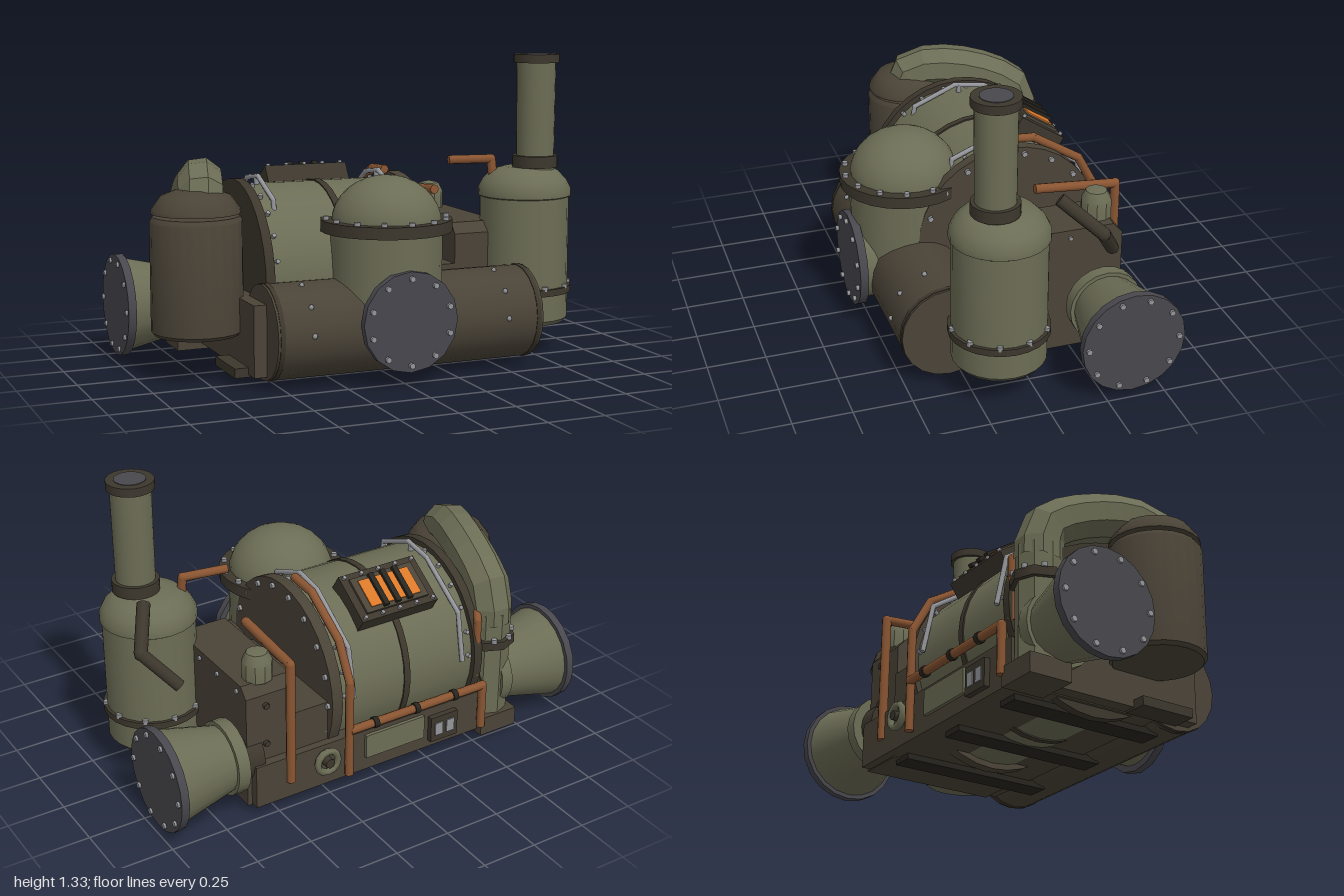
import * as THREE from 'three';
import { toCreasedNormals } from 'three/addons/utils/BufferGeometryUtils.js';

const material = (name, color) => {
  const m = new THREE.MeshStandardMaterial({ color });
  m.name = name;
  return m;
};

export function createModel() {
  const model = new THREE.Group();
  model.name = 'steamEngine';
  const green = material('olive green', 0x6c6d55);
  const brown = material('dark brown', 0x4a4337);
  const trim = material('trim brown', 0x3d372d);
  const slate = material('slate grey', 0x48474d);
  const copper = material('copper', 0x8a5532);
  const orange = material('glowing orange', 0xd9782a);
  const steel = material('steel', 0x94959a);
  const black = material('near black', 0x27251f);

  const add = (name, geo, mat, pos = [0, 0, 0], parent = model) => {
    const mesh = new THREE.Mesh(geo, mat);
    mesh.name = name;
    mesh.position.set(...pos);
    parent.add(mesh);
    return mesh;
  };
  // Box given by its min and max corners
  const box = (name, mat, a, b, parent) => add(name,
    new THREE.BoxGeometry(b[0] - a[0], b[1] - a[1], b[2] - a[2]), mat,
    a.map((v, i) => (v + b[i]) / 2), parent);
  // Cylinder along an axis from start, r0 at the start and r1 at the end
  const cyl = (name, mat, axis, start, length, r0, r1 = r0, sides = 24, parent = model) => {
    const geo = new THREE.CylinderGeometry(r1, r0, length, sides);
    geo.translate(0, length / 2, 0);
    if (axis === 'x') geo.rotateZ(-Math.PI / 2);
    if (axis === 'z') geo.rotateX(Math.PI / 2);
    return add(name, geo, mat, start, parent);
  };
  const lathe = (name, mat, pts, pos, sides = 24) => add(name, toCreasedNormals(
    new THREE.LatheGeometry(pts.map(p => new THREE.Vector2(...p)), sides), 0.6), mat, pos);
  // Straight pipe runs with ball joints at the bends
  const pipe = (name, mat, r, points, parent = model) => {
    const group = new THREE.Group();
    group.name = name;
    const pts = points.map(p => new THREE.Vector3(...p));
    for (let i = 0; i + 1 < pts.length; i++) {
      const dir = pts[i + 1].clone().sub(pts[i]);
      const run = add('pipeRun', new THREE.CylinderGeometry(r, r, dir.length(), 8), mat,
        pts[i].clone().add(pts[i + 1]).multiplyScalar(0.5).toArray(), group);
      run.quaternion.setFromUnitVectors(new THREE.Vector3(0, 1, 0), dir.normalize());
      if (i) add('pipeBend', new THREE.SphereGeometry(r * 1.03, 8, 6), mat, points[i], group);
    }
    parent.add(group);
  };
  // Ring of bolts around an axis
  const bolts = (axis, c, radius, count, parent = model) => {
    for (let i = 0; i < count; i++) {
      const a = (i + 0.5) / count * Math.PI * 2;
      const u = Math.cos(a) * radius, v = Math.sin(a) * radius;
      const p = axis === 'x' ? [c[0], c[1] + u, c[2] + v]
        : axis === 'y' ? [c[0] + u, c[1], c[2] + v] : [c[0] + u, c[1] + v, c[2]];
      cyl('bolt', steel, axis, p, 0.02, 0.013, 0.013, 6, parent);
    }
  };

  // Base with skids
  box('baseFrame', brown, [-0.55, 0.025, -0.49], [0.6, 0.22, 0.2]);
  box('leftSideBlock', brown, [-0.61, 0.03, -0.45], [-0.52, 0.33, 0.37]);
  box('columnFoot', brown, [-0.72, 0.005, -0.52], [-0.53, 0.09, -0.33]);
  box('leftStep', trim, [-0.67, 0.02, 0.05], [-0.56, 0.06, 0.3]);
  for (const x of [0.38, -0.02, -0.42]) box('skid', black, [x - 0.05, 0, -0.42], [x + 0.05, 0.03, 0.28]);

  // Main boiler lying across the base
  const bz = -0.09, by = 0.385;
  cyl('boiler', green, 'x', [-0.52, by, bz], 0.73, 0.38, 0.38, 32);
  cyl('leftBoilerFlange', trim, 'x', [-0.535, by, bz], 0.04, 0.405, 0.405, 32);
  cyl('rightBoilerFlange', brown, 'x', [0.185, by, bz], 0.05, 0.405, 0.405, 32);
  cyl('boilerBand', trim, 'x', [-0.17, by, bz], 0.03, 0.386, 0.386, 32);
  for (const x of [-0.475, 0.16]) {
    for (let i = 0; i < 11; i++) {
      const a = -1.5 + i * 0.28;
      const b = add('boilerBolt', new THREE.CylinderGeometry(0.01, 0.01, 0.024, 6), steel,
        [x, by + Math.cos(a) * 0.385, bz + Math.sin(a) * 0.385]);
      b.rotation.x = a;
    }
  }
  bolts('x', [0.228, by, bz], 0.375, 18);
  for (const x of [-0.435, 0.125]) {
    pipe('boilerRail', steel, 0.011, [[x, 0.66, 0.14], [x, 0.72, 0.13], [x, 0.8, -0.06],
      [x, 0.78, -0.2], [x, 0.62, -0.44], [x, 0.4, -0.485]]);
    cyl('railPost', steel, 'y', [x, 0.74, -0.08], 0.06, 0.012, 0.012, 6);
  }

  // Firebox grate on the sloping back of the boiler
  const grate = new THREE.Group();
  grate.name = 'grate';
  grate.position.set(-0.155, 0.735, -0.3);
  grate.rotation.x = -0.58;
  model.add(grate);
  box('grateFrame', trim, [-0.19, -0.05, -0.115], [0.19, 0.03, 0.115], grate);
  box('grateRim', brown, [-0.155, 0.03, -0.085], [0.155, 0.042, 0.085], grate);
  box('grateGlow', orange, [-0.125, 0.042, -0.065], [0.125, 0.048, 0.065], grate);
  for (let i = -1; i <= 1; i++) box('grateBar', black, [i * 0.06 - 0.012, 0.045, -0.08], [i * 0.06 + 0.012, 0.062, 0.08], grate);
  for (let i = 0; i < 5; i++) for (const z of [-0.1, 0.1])
    cyl('grateBolt', steel, 'y', [-0.17 + i * 0.085, 0.03, z], 0.014, 0.009, 0.009, 6, grate);

  // Front barrel with steam dome and round cover
  cyl('frontBarrel', brown, 'x', [-0.555, 0.205, 0.31], 1.2, 0.2, 0.2, 20);
  cyl('barrelBand', trim, 'x', [-0.545, 0.205, 0.31], 0.02, 0.203, 0.203, 20);
  cyl('barrelBand', trim, 'x', [0.615, 0.205, 0.31], 0.02, 0.203, 0.203, 20);
  for (const x of [-0.4, 0.48]) for (const a of [0.05, 0.65, 1.3])
    add('barrelBolt', new THREE.SphereGeometry(0.012, 6, 4), steel,
      [x, 0.205 + Math.sin(a) * 0.2, 0.31 + Math.cos(a) * 0.2]);
  cyl('domeBody', green, 'y', [0, 0.15, 0.31], 0.47, 0.235);
  cyl('domeFlange', trim, 'y', [0, 0.595, 0.31], 0.05, 0.277);
  bolts('y', [0, 0.64, 0.31], 0.255, 14);
  const dome = new THREE.SphereGeometry(0.232, 24, 8, 0, Math.PI * 2, 0, Math.PI / 2);
  dome.scale(1, 0.86, 1);
  add('steamDome', dome, green, [0, 0.627, 0.31]);
  cyl('coverNeck', green, 'z', [0, 0.25, 0.3], 0.235, 0.18);
  cyl('frontCover', slate, 'z', [0, 0.25, 0.53], 0.036, 0.21, 0.21, 16);
  bolts('z', [0, 0.25, 0.56], 0.18, 10);

  // Horn and cover on either side
  for (const side of [1, -1]) {
    const horn = new THREE.Group();
    horn.name = side > 0 ? 'leftHorn' : 'rightHorn';
    horn.position.set(0, 0.23, -0.36);
    if (side < 0) horn.rotation.y = Math.PI;
    model.add(horn);
    cyl('hornStub', trim, 'x', [0.55, 0, 0], 0.1, 0.12, 0.12, 20, horn);
    cyl('hornCollar', green, 'x', [0.64, 0, 0], 0.055, 0.16, 0.16, 20, horn);
    cyl('hornCone', green, 'x', [0.69, 0, 0], 0.27, 0.142, 0.205, 20, horn);
    cyl('hornCover', slate, 'x', [0.955, 0, 0], 0.035, 0.222, 0.222, 20, horn);
    bolts('x', [0.98, 0, 0], 0.195, 10, horn);
  }

  // Chimney tank
  lathe('chimneyTank', green, [[0, 0.12], [0.18, 0.12], [0.197, 0.14], [0.197, 0.68], [0.205, 0.685],
    [0.205, 0.715], [0.185, 0.755], [0.145, 0.795], [0.09, 0.81], [0, 0.81]], [0.75, 0, 0.132]);
  cyl('tankBand', trim, 'y', [0.75, 0.255, 0.132], 0.03, 0.211);
  bolts('y', [0.75, 0.278, 0.132], 0.2, 10);
  cyl('chimney', green, 'y', [0.785, 0.79, 0.163], 0.5, 0.083, 0.086);
  cyl('chimneyBase', trim, 'y', [0.785, 0.81, 0.163], 0.052, 0.1);
  cyl('chimneyRim', trim, 'y', [0.785, 1.27, 0.163], 0.037, 0.1);
  cyl('chimneyMouth', slate, 'y', [0.785, 1.305, 0.163], 0.005, 0.066);
  cyl('drainPlug', black, 'y', [0.68, 0.07, 0.1], 0.06, 0.022, 0.022, 8);

  // Dark tank with an angular duct running back and down
  lathe('darkTank', brown, [[0, 0.17], [0.18, 0.17], [0.193, 0.185], [0.193, 0.645], [0.18, 0.665], [0, 0.665]],
    [-0.752, 0, 0.065]);
  lathe('darkTankCap', brown, [[0, 0.678], [0.188, 0.678], [0.185, 0.695], [0.145, 0.75], [0.08, 0.775], [0, 0.78]],
    [-0.752, 0, 0.065]);
  const route = [[-0.735, 0.68, 0.09], [-0.73, 0.75, 0.075], [-0.71, 0.785, 0], [-0.67, 0.785, -0.14],
    [-0.635, 0.725, -0.32], [-0.625, 0.66, -0.4], [-0.625, 0.52, -0.415]].map(p => new THREE.Vector3(...p));
  const duct = new THREE.TubeGeometry(new THREE.CatmullRomCurve3(route, false, 'centripetal'), 9, 0.1, 8).toNonIndexed();
  duct.computeVertexNormals();
  add('duct', duct, green);
  const column = new THREE.CylinderGeometry(0.095, 0.095, 0.52, 8).toNonIndexed();
  column.computeVertexNormals();
  add('ductColumn', column, green, [-0.625, 0.32, -0.415]);
  cyl('ductFlange', trim, 'y', [-0.625, 0.42, -0.415], 0.04, 0.115, 0.115, 8);
  bolts('y', [-0.625, 0.455, -0.415], 0.103, 8);

  // Valve chest with relief valve
  box('lowChest', brown, [0.2, 0.03, -0.455], [0.4, 0.4, 0.16]);
  const shape = new THREE.Shape([[0.45, 0.02], [0.45, 0.53], [0.41, 0.575], [-0.12, 0.575], [-0.16, 0.53], [-0.16, 0.02]]
    .map(p => new THREE.Vector2(...p)));
  const chest = new THREE.ExtrudeGeometry(shape, { depth: 0.225, bevelEnabled: false });
  chest.rotateY(Math.PI / 2).scale(1, 1, 1);
  add('valveChest', chest, brown, [0.395, 0, 0]);
  for (const z of [-0.38, -0.22, -0.07]) cyl('chestBolt', steel, 'x', [0.615, 0.54, z], 0.015, 0.01, 0.01, 6);
  for (const y of [0.12, 0.3, 0.48]) cyl('chestBolt', trim, 'z', [0.53, y, -0.465], 0.02, 0.014, 0.014, 6);
  lathe('reliefValve', green, [[0, 0.57], [0.065, 0.57], [0.065, 0.65], [0.045, 0.69], [0, 0.7]], [0.52, 0, -0.37], 10);

  // Copper plumbing
  pipe('chestPipe', copper, 0.021, [[0.435, 0.1, -0.49], [0.435, 0.66, -0.49], [0.435, 0.69, -0.13]]);
  pipe('boilerPipe', copper, 0.019, [[0.165, 0.05, -0.515], [0.165, 0.5, -0.515], [0.165, 0.66, -0.43], [0.165, 0.79, -0.22], [0.165, 0.8, -0.08]]);
  pipe('rearPipe', copper, 0.019, [[0.165, 0.27, -0.52], [-0.525, 0.27, -0.52], [-0.525, 0.06, -0.52]]);
  pipe('tankPipe', copper, 0.02, [[0.41, 0.845, 0.06], [0.605, 0.845, 0.09], [0.612, 0.73, 0.1]]);
  pipe('columnPipe', copper, 0.018, [[-0.52, 0.3, -0.47], [-0.52, 0.57, -0.47], [-0.55, 0.6, -0.42]]);
  for (const x of [0.04, -0.17, -0.37]) cyl('pipeClamp', black, 'x', [x - 0.012, 0.27, -0.52], 0.024, 0.025, 0.025, 8);

  // Crank handle
  pipe('crankHandle', trim, 0.028, [[0.865, 0.87, -0.07], [0.96, 0.74, -0.22], [0.84, 0.6, -0.31]]);

  // Rear fittings
  add('handWheel', new THREE.TorusGeometry(0.05, 0.016, 6, 12), green, [0.27, 0.15, -0.515]);
  cyl('wheelHub', trim, 'z', [0.27, 0.15, -0.535], 0.1, 0.022, 0.022, 8);
  box('rearPanel', green, [-0.23, 0.09, -0.505], [0.07, 0.2, -0.485]);
  box('switchBox', trim, [-0.4, 0.06, -0.515], [-0.26, 0.18, -0.485]);
  for (const x of [-0.36, -0.3]) box('switchFace', steel, [x - 0.02, 0.09, -0.52], [x + 0.02, 0.15, -0.514]);
  return model;
}
